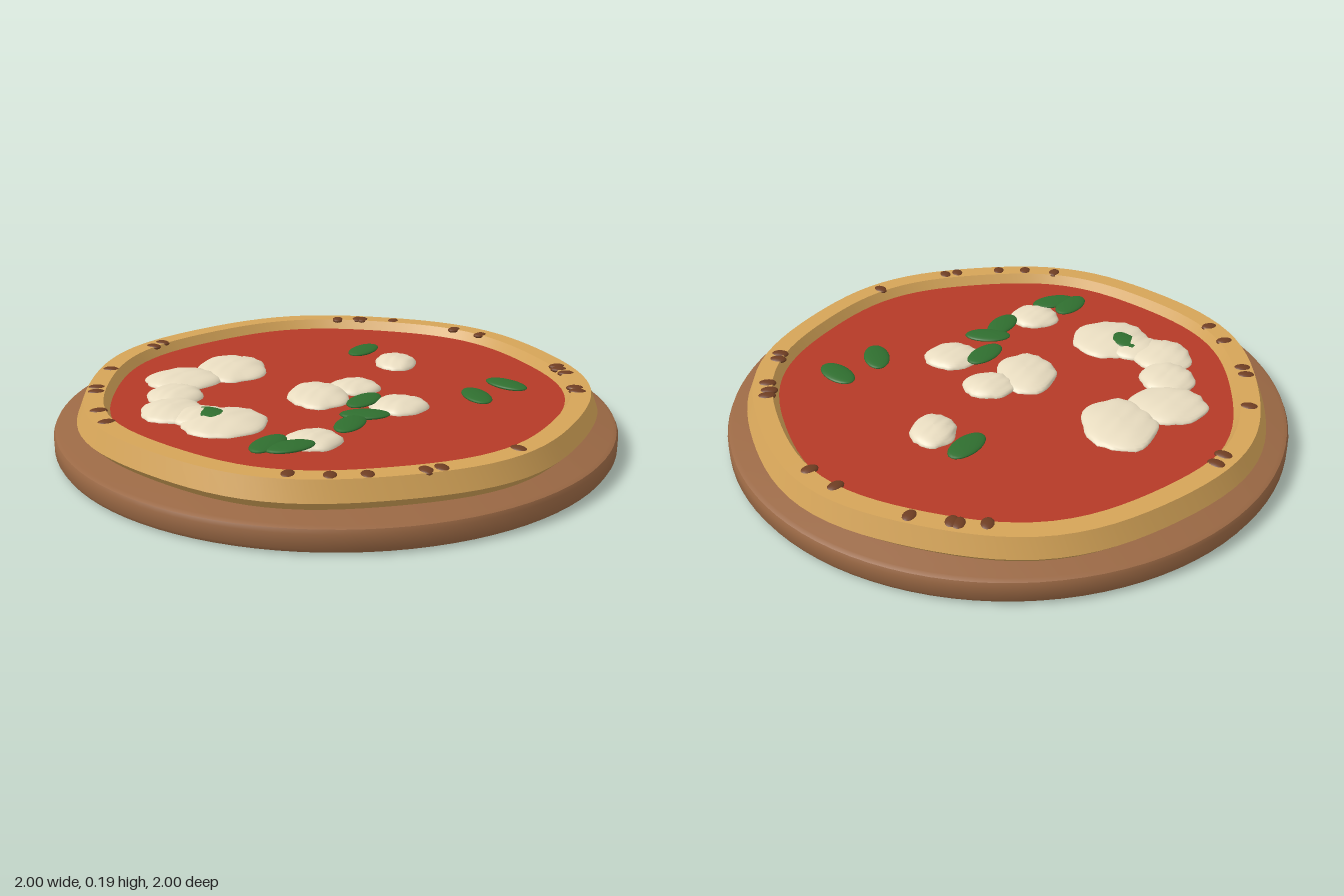
import * as THREE from 'three';
import { toCreasedNormals } from 'three/addons/utils/BufferGeometryUtils.js';

const flat = (name, color) => {
  const m = new THREE.MeshStandardMaterial({ color });
  m.name = name;
  return m;
};

const lathe = (points, segments) =>
  new THREE.LatheGeometry(points.map(([r, y]) => new THREE.Vector2(r, y)), segments);

export function createModel() {
  const wood = flat('wood', 0x9a6844);
  const dough = flat('dough', 0xd5a458);
  const tomato = flat('tomato', 0xb53a27);
  const cream = flat('cream', 0xe8dcc0);
  const green = flat('leaf green', 0x2f6e2f);
  const charBrown = flat('char brown', 0x6e3d22);

  const model = new THREE.Group();
  model.name = 'pizza';
  const add = (name, geometry, material, parent = model) => {
    const mesh = new THREE.Mesh(geometry, material);
    mesh.name = name;
    parent.add(mesh);
    return mesh;
  };
  const addGroup = (name) => {
    const g = new THREE.Group();
    g.name = name;
    model.add(g);
    return g;
  };

  // Round board with a softened rim
  const board = lathe([[0, 0], [0.975, 0], [0.992, 0.006], [1, 0.02], [1, 0.066],
    [0.994, 0.079], [0.98, 0.085], [0, 0.085]], 96);
  add('board', toCreasedNormals(board, 0.7), wood);

  // Hexagonal crust ring, its radius wavering around the edge
  const crust = lathe([[0.83, 0.06], [0.86, 0.06], [0.922, 0.12], [0.896, 0.185],
    [0.828, 0.185], [0.79, 0.12], [0.83, 0.06]], 96);
  const p = crust.attributes.position;
  for (let i = 0; i < p.count; i++) {
    const a = Math.atan2(p.getZ(i), p.getX(i));
    const r = Math.hypot(p.getX(i), p.getZ(i));
    const k = 1 + (0.013 * Math.cos(a + 1.22) + 0.009 * Math.sin(7 * a + 0.4)) / r;
    p.setXYZ(i, p.getX(i) * k, p.getY(i), p.getZ(i) * k);
  }
  add('crust', toCreasedNormals(crust, 0.45), dough);

  // Sauce disc tucked under the crust
  const sauce = new THREE.CylinderGeometry(0.83, 0.83, 0.06, 72);
  sauce.translate(0, 0.12, 0);
  add('sauce', sauce, tomato);

  // Lumpy cheese pieces: x, z, half width, half depth
  const cheese = addGroup('cheese');
  [
    [-0.35, -0.31, 0.13, 0.16], [-0.54, -0.21, 0.14, 0.12], [-0.575, -0.03, 0.1, 0.11],
    [-0.59, 0.13, 0.11, 0.12], [-0.5, 0.2, 0.1, 0.09], [-0.42, 0.27, 0.145, 0.14],
    [-0.07, 0.05, 0.11, 0.14], [0.07, -0.02, 0.095, 0.085], [0.19, 0.2, 0.105, 0.095],
    [-0.15, 0.48, 0.095, 0.09], [0.28, -0.29, 0.08, 0.1],
  ].forEach(([x, z, rx, rz], n) => {
    const lump = new THREE.SphereGeometry(1, 32, 20);
    const v = lump.attributes.position;
    for (let i = 0; i < v.count; i++) {
      const [a, b, c] = [v.getX(i), v.getY(i), v.getZ(i)];
      const k = 1 + 0.035 * Math.sin(5 * a + n) * Math.cos(4 * c + 2 * n)
        + 0.025 * Math.sin(11 * a + 9 * c + 3 * b + n);
      v.setXYZ(i, a * k * rx, b * k * 0.032, c * k * rz);
    }
    lump.computeVertexNormals();
    add('cheesePiece', lump, cream, cheese).position.set(x, 0.149, z);
  });

  // Basil leaves: x, z, turn about the vertical
  const basil = addGroup('basil');
  const leaf = new THREE.SphereGeometry(1, 24, 12);
  leaf.scale(0.086, 0.011, 0.047);
  [
    [0.175, -0.415, 0.87], [0.61, 0.085, -0.95], [0.47, 0.19, -1.45],
    [0.07, 0.175, 0.83], [0.048, 0.315, -0.15], [-0.015, 0.395, 1.0],
    [-0.3, 0.53, 0.9], [-0.235, 0.565, 0.3], [-0.455, 0.235, -1.0],
  ].forEach(([x, z, turn]) => {
    const m = add('basilLeaf', leaf, green, basil);
    m.position.set(x, 0.172, z);
    m.rotation.y = turn;
  });

  // Char spots on top of the crust
  const spots = addGroup('charSpots');
  const spot = new THREE.SphereGeometry(1, 14, 8);
  spot.scale(0.032, 0.01, 0.023);
  [
    [-0.04, 0.845], [-0.15, 0.835], [-0.27, 0.805], [0.135, 0.84], [0.185, 0.83],
    [0.455, 0.72], [0.825, 0.23], [0.83, 0.19], [0.855, 0.025], [0.845, -0.025],
    [0.85, -0.06], [0.68, -0.515], [0.595, -0.61], [0.37, -0.78], [0.245, -0.82],
    [0.225, -0.83], [0.14, -0.84], [-0.61, -0.605], [-0.645, -0.56], [-0.805, -0.285],
    [-0.85, -0.08], [-0.85, -0.03], [-0.835, 0.17], [-0.805, 0.285],
  ].forEach(([x, z]) => {
    const m = add('charSpot', spot, charBrown, spots);
    m.position.set(x, 0.181, z);
    m.rotation.y = -Math.atan2(z, x);
  });

  return model;
}
